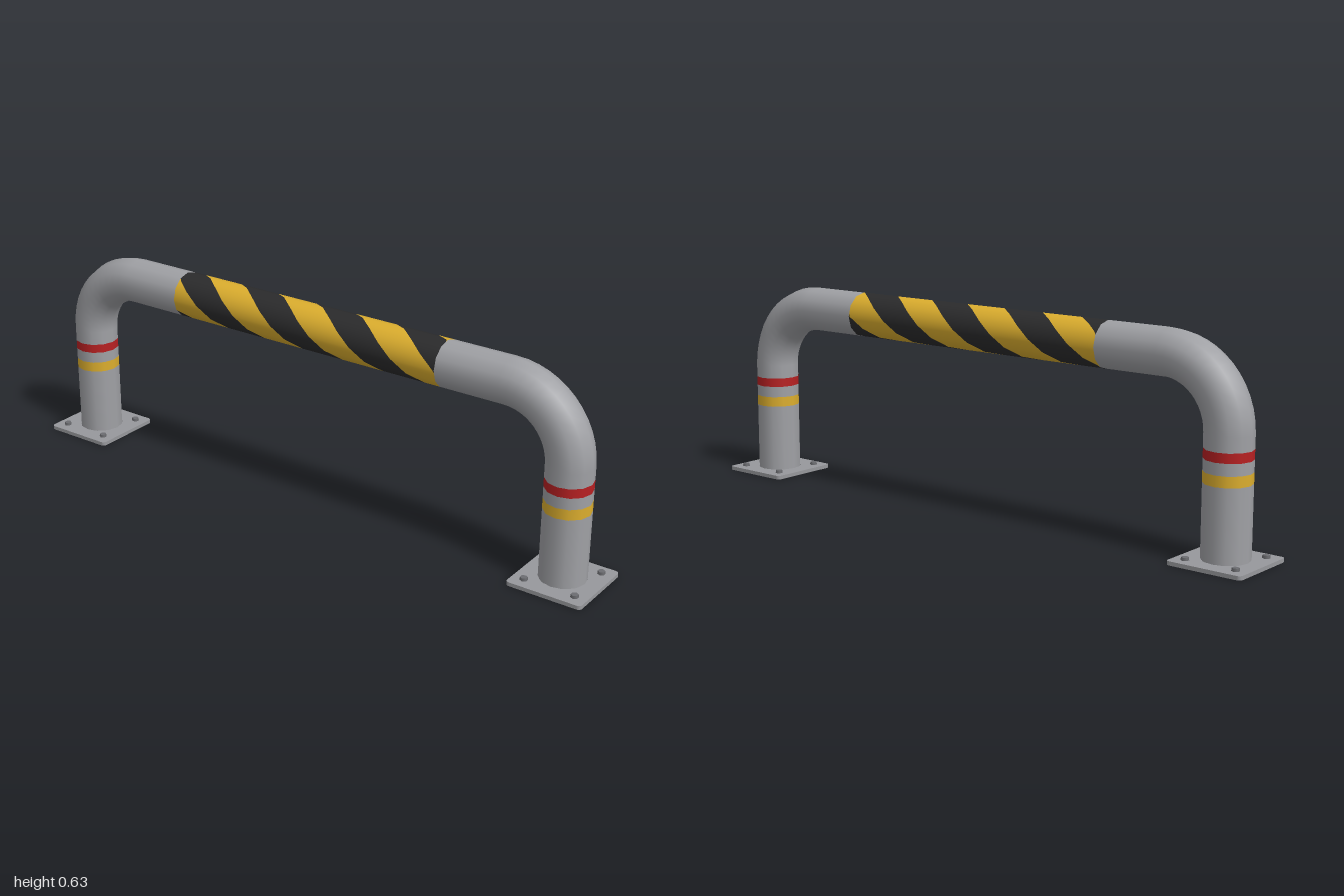
import * as THREE from 'three';

const R = 0.07, SIDES = 12;          // pipe section
const LEG_X = 0.88, TOP_Y = 0.564, BEND = 0.2;
const HALF = 0.475;                  // half length of the striped sleeve

const mat = (name, color) => {
  const m = new THREE.MeshStandardMaterial({ color });
  m.name = name;
  return m;
};

export function createModel() {
  const steel = mat('galvanised steel', 0xa0a1a5);
  const plateGrey = mat('plate grey', 0x97989c);
  const boltGrey = mat('bolt grey', 0x6c6d71);
  const red = mat('red', 0xb82022);
  const yellow = mat('yellow', 0xdcae2e);
  const black = mat('black', 0x2b2b2c);

  const model = new THREE.Group();
  model.name = 'barrier';
  const add = (parent, name, geometry, material, x = 0, y = 0, z = 0) => {
    const m = new THREE.Mesh(geometry, material);
    m.name = name;
    m.position.set(x, y, z);
    parent.add(m);
    return m;
  };

  // Base plate: rounded square with a round hole under the pipe
  const h = 0.118, c = 0.012;
  const square = new THREE.Shape();
  square.moveTo(-h + c, -h);
  square.lineTo(h - c, -h);
  square.absarc(h - c, -h + c, c, -Math.PI / 2, 0);
  square.absarc(h - c, h - c, c, 0, Math.PI / 2);
  square.absarc(-h + c, h - c, c, Math.PI / 2, Math.PI);
  square.absarc(-h + c, -h + c, c, Math.PI, Math.PI * 1.5);
  square.holes.push(new THREE.Path().absarc(0, 0, R - 0.001, 0, Math.PI * 2, true));
  const plateGeo = new THREE.ExtrudeGeometry(square, { depth: 0.012, bevelEnabled: false, curveSegments: 8 });
  plateGeo.rotateX(-Math.PI / 2);

  // Leg sections from the ground up: [bottom, top, name, material]
  const sections = [
    [0.005, 0.227, 'lowerLeg', steel],
    [0.227, 0.259, 'yellowBand', yellow],
    [0.259, 0.294, 'middleLeg', steel],
    [0.294, 0.322, 'redBand', red],
    [0.322, TOP_Y - BEND, 'upperLeg', steel],
  ];

  // One end of the barrier, then the same turned half round
  for (const side of ['left', 'right']) {
    const end = new THREE.Group();
    end.name = side + 'End';
    end.rotation.y = side === 'left' ? 0 : Math.PI;
    model.add(end);

    sections.forEach(([y0, y1, name, material], i) =>
      add(end, name, new THREE.CylinderGeometry(R, R, y1 - y0, SIDES, 1, i > 0), material, LEG_X, (y0 + y1) / 2));

    add(end, 'bend', new THREE.TorusGeometry(BEND, R, SIDES, 12, Math.PI / 2), steel, LEG_X - BEND, TOP_Y - BEND);

    const armLength = LEG_X - BEND - HALF;
    const arm = add(end, 'arm', new THREE.CylinderGeometry(R, R, armLength, SIDES, 1, true), steel, HALF + armLength / 2, TOP_Y);
    arm.rotation.z = Math.PI / 2;

    add(end, 'basePlate', plateGeo, plateGrey, LEG_X);
    for (const sx of [-1, 1]) for (const sz of [-1, 1]) {
      add(end, 'bolt', new THREE.CylinderGeometry(0.011, 0.012, 0.01, 6).toNonIndexed(), boltGrey,
        LEG_X + sx * 0.08, 0.016, sz * 0.08);
    }
  }

  // Striped sleeve: helical ribbons, two pitches per turn, cut off square at the ends
  const pitch = 0.285, firstEdge = -0.171 - pitch / 4;
  const clamp = x => THREE.MathUtils.clamp(x, -HALF, HALF);
  const sleeve = new THREE.Group();
  sleeve.name = 'stripedSleeve';
  model.add(sleeve);
  const ribbon = s => {
    const pos = [], nor = [], idx = [];
    const steps = SIDES * 4;
    const ring = i => {
      const a = -Math.PI + (i / SIDES) * Math.PI * 2;
      return [Math.cos(a), Math.sin(a)];
    };
    for (let i = 0; i <= steps; i++) {
      // points lie on the flat sides of the pipe, so the sleeve meets the arms
      const f = i / 4, k = Math.floor(f), t = f - k;
      const p = ring(k), q = ring(k + 1);
      const y = p[0] + (q[0] - p[0]) * t, z = p[1] + (q[1] - p[1]) * t;
      const len = Math.hypot(y, z);
      const x = firstEdge + s * pitch / 2 + (f / SIDES - 0.5) * 2 * pitch;
      for (const edge of [x, x + pitch / 2]) {
        pos.push(clamp(edge), y * R, z * R);
        nor.push(0, y / len, z / len);
      }
      if (i < steps) {
        const a = i * 2;
        idx.push(a, a + 2, a + 1, a + 1, a + 2, a + 3);
      }
    }
    const g = new THREE.BufferGeometry();
    g.setAttribute('position', new THREE.Float32BufferAttribute(pos, 3));
    g.setAttribute('normal', new THREE.Float32BufferAttribute(nor, 3));
    // drop the slivers collapsed at the cut ends
    const keep = [];
    for (let i = 0; i < idx.length; i += 3) {
      const xs = [0, 1, 2].map(j => pos[idx[i + j] * 3]);
      if (Math.max(...xs) - Math.min(...xs) > 1e-6) keep.push(idx[i], idx[i + 1], idx[i + 2]);
    }
    g.setIndex(keep);
    return keep.length ? g : null;
  };
  for (let s = -6; s <= 9; s++) {
    const g = ribbon(s);
    const dark = s % 2 === 0;
    if (g) add(sleeve, dark ? 'blackStripe' : 'yellowStripe', g, dark ? black : yellow, 0, TOP_Y, 0);
  }

  return model;
}
